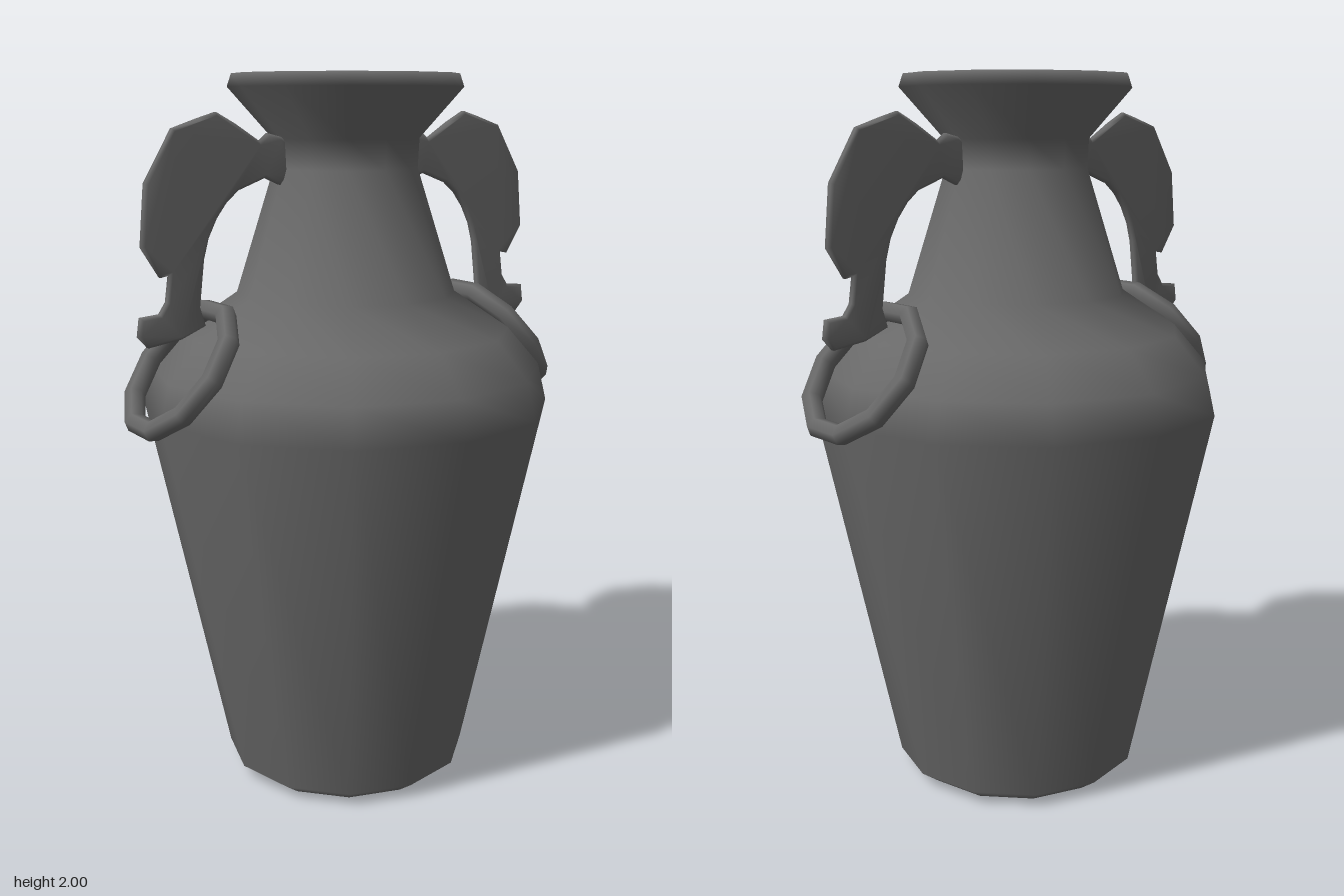
import * as THREE from 'three';
import { mergeVertices } from 'three/addons/utils/BufferGeometryUtils.js';

const SIDES = 12;
const darkGrey = new THREE.MeshStandardMaterial({ color: 0x696969 });

const toPoints = (pairs) => pairs.map(([x, y]) => new THREE.Vector2(x, y));

function addMesh(parent, name, geometry) {
  const mesh = new THREE.Mesh(geometry, darkGrey);
  mesh.name = name;
  parent.add(mesh);
  return mesh;
}

const turned = (profile) => new THREE.LatheGeometry(toPoints(profile), SIDES);

// Weld all corners so the shading runs smoothly over every edge
function smooth(geometry) {
  geometry.deleteAttribute('normal');
  geometry.deleteAttribute('uv');
  const welded = mergeVertices(geometry);
  welded.computeVertexNormals();
  return welded;
}

// One side: a thin scrolled handle and the ring hanging from its foot
function createHandle(name) {
  const side = new THREE.Group();
  side.name = name;

  const outline = [
    // claw on the neck, then over the arched back
    [0.18, 1.82], [0.205, 1.835], [0.245, 1.845], [0.27, 1.825], [0.34, 1.87],
    [0.395, 1.9], [0.445, 1.885], [0.52, 1.86], [0.6, 1.725], [0.615, 1.565],
    [0.565, 1.485], [0.54, 1.49],
    // curled foot
    [0.55, 1.42], [0.57, 1.39], [0.625, 1.385], [0.632, 1.335], [0.605, 1.305],
    [0.51, 1.32], [0.44, 1.35], [0.455, 1.4],
    // inner curve back to the neck
    [0.44, 1.525], [0.425, 1.58], [0.4, 1.63], [0.37, 1.67], [0.335, 1.7],
    [0.255, 1.73], [0.21, 1.71], [0.18, 1.73],
  ];
  const plate = new THREE.ExtrudeGeometry(new THREE.Shape(toPoints(outline)), {
    depth: 0.012, bevelThickness: 0.007, bevelSize: 0.008, bevelOffset: -0.008, bevelSegments: 1,
  });
  plate.translate(0, 0, -0.006);
  addMesh(side, 'handle', smooth(plate));

  // Ring leans against the shoulder
  const ring = new THREE.TorusGeometry(0.189, 0.029, 6, 10);
  ring.rotateY(Math.PI / 2);
  ring.rotateZ(0.65);
  addMesh(side, 'ring', ring).position.set(0.515, 1.24, 0);
  return side;
}

export function createModel() {
  const model = new THREE.Group();
  model.name = 'vase';

  // Turned vessel: tapered body, shoulder, neck and flared, softly rounded lip
  addMesh(model, 'body', turned([
    [0.295, 0], [0.35, 0.04], [0.575, 1.095], [0.55, 1.2], [0.46, 1.305],
    [0.305, 1.41], [0.198, 1.75], [0.202, 1.83], [0.322, 1.965], [0.31, 2], [0.257, 1.995],
  ]));
  addMesh(model, 'base', turned([[0, 0], [0.295, 0]]));

  // Deep hollow narrowing down inside the neck
  addMesh(model, 'mouth', turned([[0.257, 1.995], [0.16, 1.81], [0, 1.3]]));

  // Matching handles on both sides
  const left = createHandle('leftHandle');
  const right = createHandle('rightHandle');
  right.rotation.y = Math.PI;
  model.add(left, right);

  return model;
}
